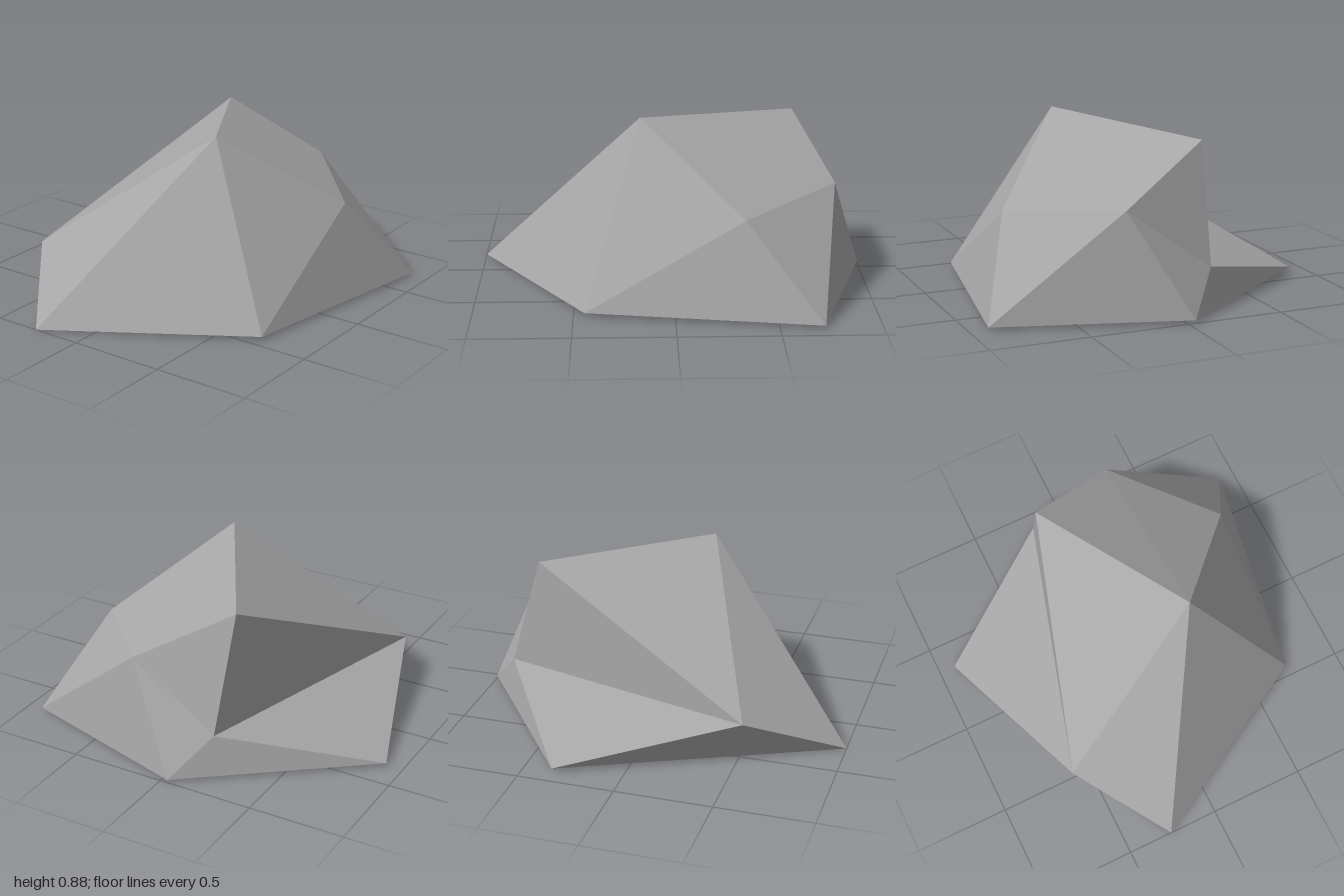
import * as THREE from 'three';

// Faceted boulder: named corner points joined by outward-facing triangles
const corners = {
  A: [-0.04, 0.015, -1.0], B: [0.91, 0.015, -0.72], C: [0.72, 0.02, 0.445],
  D: [-0.26, 0, 1.0], E: [-0.915, 0.02, -0.35], // ground outline
  F: [-0.61, 0.245, 0.54], K: [-0.205, 0.22, -0.825], // low shoulders
  I: [0.7, 0.48, -0.345], J: [0.25, 0.54, -0.83], // middle ledge
  G: [-0.235, 0.815, -0.65], H: [0.24, 0.885, 0.165], // ridge
};

const faces = [
  'HDC', 'HFD', 'HCI', 'ICB', 'JIB', // front and sides
  'HIJ', 'HJG', 'HGF', // crown
  'JBA', 'JAK', 'GJK', 'GKF', 'KEF', 'KAE', // back and notch
  'EDF', 'ABC', 'ACD', 'ADE', // undercut and underside
];

export function createModel() {
  const stone = new THREE.MeshStandardMaterial({ color: 0xa6a6a6, flatShading: true });
  stone.name = 'stone grey';

  const points = faces.flatMap((face) => [...face].flatMap((c) => corners[c]));
  const geometry = new THREE.BufferGeometry();
  geometry.setAttribute('position', new THREE.Float32BufferAttribute(points, 3));
  geometry.computeVertexNormals();

  const rock = new THREE.Mesh(geometry, stone);
  rock.name = 'rock';
  const model = new THREE.Group();
  model.name = 'boulder';
  model.add(rock);
  return model;
}
